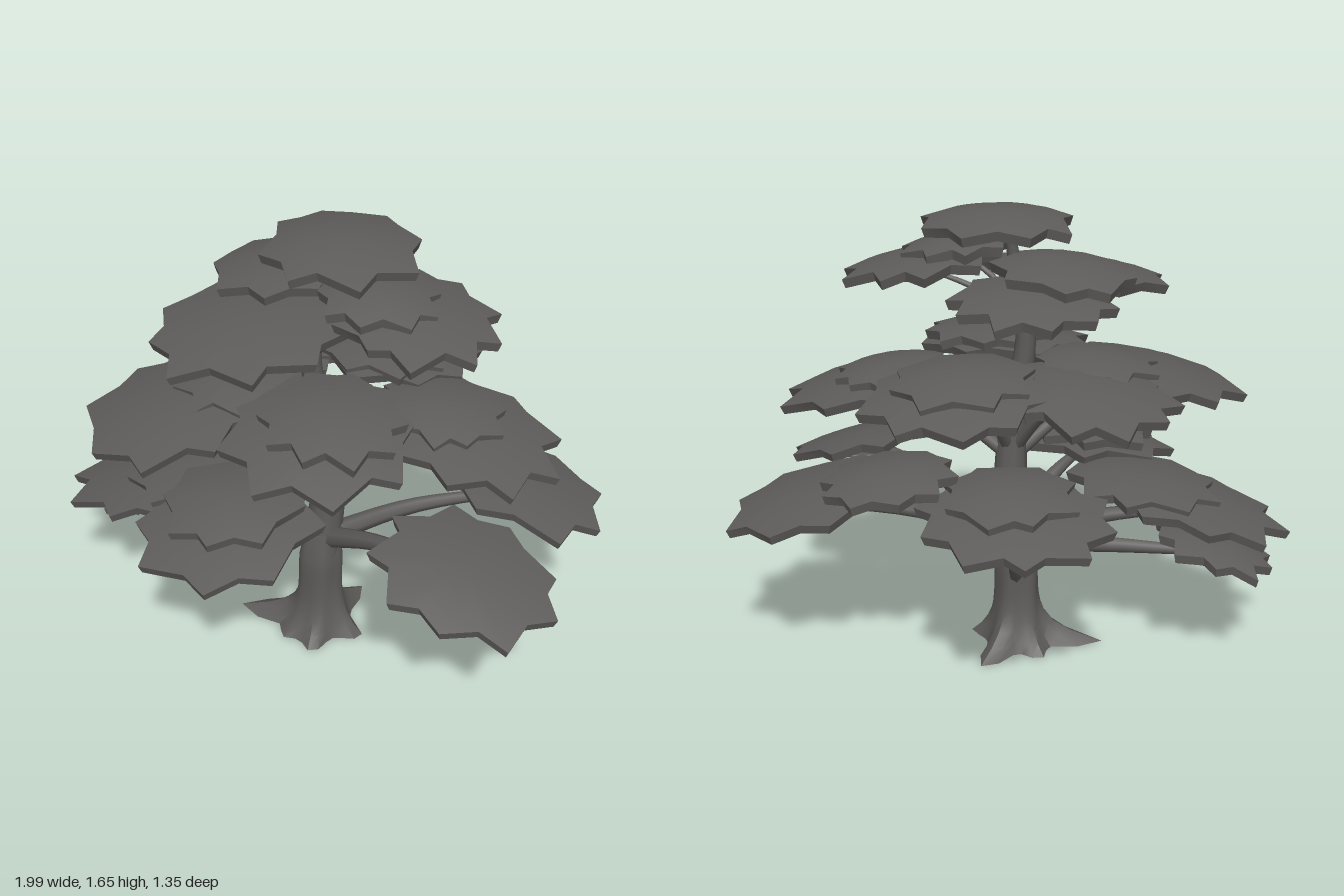
import * as THREE from 'three';
import { toCreasedNormals } from 'three/addons/utils/BufferGeometryUtils.js';

const grey = new THREE.MeshStandardMaterial({ color: 0x5e5c5a });
grey.name = 'charcoal grey';

const THICK = 0.036;
const V = (x, y, z) => new THREE.Vector3(x, y, z);

function seeded(seed) {
  let s = seed * 7919 + 17;
  return () => {
    s = (s * 16807) % 2147483647;
    return s / 2147483647;
  };
}

function add(parent, geometry, name) {
  const mesh = new THREE.Mesh(geometry, grey);
  mesh.name = name;
  parent.add(mesh);
  return mesh;
}

// Tapered tube through a few points
function limb(points, r0, r1, sides = 7, segments = 10) {
  const curve = new THREE.CatmullRomCurve3(points);
  const geo = new THREE.TubeGeometry(curve, segments, 1, sides);
  const pos = geo.attributes.position;
  const p = V(0, 0, 0);
  for (let i = 0; i < pos.count; i++) {
    const t = Math.floor(i / (sides + 1)) / segments;
    const c = curve.getPointAt(t);
    p.fromBufferAttribute(pos, i).sub(c).multiplyScalar(r0 + (r1 - r0) * t).add(c);
    pos.setXYZ(i, p.x, p.y, p.z);
  }
  return geo;
}

// Star-edged foliage plate, domed above and nearly flat below, leaning by slopes sx and sz
function padGeometry({ rx, rz, sx, sz, dome, seed }) {
  const rand = seeded(seed);
  const n = (8 + (seed % 3)) * 2;
  const turn = rand() * 6.28;
  const rim = [];
  for (let i = 0; i < n; i++) {
    const a = turn + ((i + (rand() - 0.5) * 0.6) / n) * Math.PI * 2;
    const r = i % 2 ? 0.78 + rand() * 0.08 : 0.95 + rand() * 0.12;
    rim.push([Math.cos(a) * r, Math.sin(a) * r]);
  }
  const verts = [];
  const index = [];
  const put = (u, v, drop) => verts.push(
    u * rx, sx * u * rx + sz * v * rz - dome * (u * u + v * v) - drop, v * rz);
  const rings = [[0.4, 0], [0.75, 0], [1, 0], [0.96, THICK], [0.6, THICK + dome * 0.45]];
  put(0, 0, 0);
  for (const [k, drop] of rings) for (const [u, v] of rim) put(u * k, v * k, drop);
  put(0, 0, THICK + dome * 0.75);
  const last = rings.length * n + 1;
  for (let i = 0; i < n; i++) {
    const j = (i + 1) % n;
    index.push(0, 1 + j, 1 + i);
    for (let k = 0; k < rings.length - 1; k++) {
      const a = 1 + k * n, b = a + n;
      index.push(a + i, a + j, b + i, a + j, b + j, b + i);
    }
    const e = 1 + (rings.length - 1) * n;
    index.push(e + i, e + j, last);
  }
  const geo = new THREE.BufferGeometry();
  geo.setAttribute('position', new THREE.Float32BufferAttribute(verts, 3));
  geo.setIndex(index);
  return toCreasedNormals(geo, 0.6);
}

// Plates droop outward in proportion to their distance from the trunk (lean).
// ratio is depth over width; each plate is centre x, y, z and half width.
const TIERS = [
  { name: 'crown', lean: 0, dome: 0.05, ratio: 1.03, plates: [[0.03, 1.65, -0.01, 0.27]] },
  {
    name: 'upperTier', lean: 0.45, dome: 0.043, ratio: 1, from: 1.07, girth: 0.018,
    plates: [[0.18, 1.54, 0.08, 0.2], [0.3, 1.48, 0.08, 0.28], [-0.2, 1.5, -0.1, 0.25],
      [-0.22, 1.43, 0.2, 0.33], [-0.1, 1.42, -0.19, 0.27]],
  },
  {
    name: 'middleTier', lean: 0.4, dome: 0.048, ratio: 0.98, from: 0.68, girth: 0.028,
    plates: [[0.05, 1.135, 0.32, 0.32], [0.14, 1.125, -0.3, 0.33], [-0.29, 1.11, -0.2, 0.31],
      [-0.49, 1.07, 0.2, 0.34], [0.49, 1.05, 0.06, 0.32]],
  },
  {
    name: 'middleCaps', lean: 0.25, dome: 0.04, ratio: 1,
    plates: [[0.08, 1.178, 0.28, 0.25], [0.12, 1.16, -0.25, 0.25], [-0.3, 1.135, 0.06, 0.23],
      [0.4, 1.1, 0.02, 0.22]],
  },
  {
    name: 'lowerTier', lean: 0.42, dome: 0.042, ratio: 0.86, from: 0.38, girth: 0.042,
    plates: [[-0.26, 0.725, 0.38, 0.34], [-0.66, 0.635, 0.03, 0.34], [-0.74, 0.505, -0.06, 0.22],
      [0.67, 0.69, -0.18, 0.33], [0.57, 0.705, 0.38, 0.32], [-0.07, 0.73, -0.39, 0.34]],
  },
  {
    name: 'lowerCaps', lean: 0.25, dome: 0.042, ratio: 0.95,
    plates: [[-0.27, 0.795, 0.33, 0.25], [-0.48, 0.7, 0.04, 0.28], [0.38, 0.805, -0.27, 0.24],
      [-0.04, 0.78, -0.32, 0.24]],
  },
];

// Branch from the trunk to a plate, with twigs fanning out beneath it
function addBranch(parent, start, [x, y, z], { rx, rz, sx, sz, dome }, girth) {
  const end = V(x, y - THICK - dome * 0.75, z);
  const bend = start.clone().lerp(end, 0.45);
  bend.y = start.y + (end.y - start.y) * 0.66;
  add(parent, limb([start, bend, end], girth, girth * 0.35), 'branch');

  const out = Math.atan2(z - start.z, x - start.x);
  const fork = bend.clone().lerp(end, 0.65);
  for (const d of [-1.1, -0.4, 0.4, 1.1]) {
    const dx = Math.cos(out + d) * rx * 0.55, dz = Math.sin(out + d) * rz * 0.55;
    const tip = V(x + dx, y + sx * dx + sz * dz - dome * 0.75 - THICK - 0.006, z + dz);
    const mid = fork.clone().lerp(tip, 0.5);
    mid.y -= 0.01;
    add(parent, limb([fork, mid, tip], girth * 0.4, 0.003, 5, 5), 'twig');
  }
}

export function createModel() {
  const tree = new THREE.Group();
  tree.name = 'tieredTree';

  // Trunk base with flared roots, each a direction and a length
  const base = new THREE.CylinderGeometry(0.08, 0.08, 0.46, 28, 12);
  base.translate(0, 0.23, 0);
  const roots = [[Math.PI, 0.2], [0.3, 0.06], [1.5, 0.06], [2.3, 0.06], [-1.15, 0.13], [-2.2, 0.06]];
  const pos = base.attributes.position;
  for (let i = 0; i < pos.count; i++) {
    const x = pos.getX(i), y = pos.getY(i), z = pos.getZ(i);
    const a = Math.atan2(z, x);
    const f = Math.max(0, 1 - y / 0.24);
    let reach = 0.04 * f * f;
    for (const [dir, len] of roots) reach += len * Math.max(0, Math.cos(a - dir)) ** 20 * f ** 4;
    const taper = 0.25 * Math.max(0, (y - 0.34) / 0.12);
    const k = 1 + reach / 0.08 + 0.05 * Math.sin(a * 5 + y * 6) - taper;
    pos.setXYZ(i, x * k - 0.03, y, z * k + 0.03);
  }
  add(tree, toCreasedNormals(base, 0.7), 'rootedTrunk');

  // Leader rising through the tiers
  const spine = [V(-0.03, 0.36, 0.03), V(-0.01, 0.6, 0), V(-0.02, 0.9, 0.02), V(-0.06, 1.18, 0.03), V(-0.03, 1.4, 0.02), V(0, 1.62, 0)];
  add(tree, limb(spine, 0.075, 0.015, 10, 20), 'leader');
  const leader = new THREE.CatmullRomCurve3(spine);

  // Short broken stub behind the trunk
  add(tree, limb([V(-0.03, 0.28, -0.02), V(-0.03, 0.33, -0.06), V(-0.02, 0.36, -0.085)], 0.03, 0.014), 'stub');

  // Foliage tiers; nearer plates branch off a little higher
  let seed = 3;
  for (const { name, lean, dome, ratio, from, girth, plates } of TIERS) {
    const tier = new THREE.Group();
    tier.name = name;
    tree.add(tier);
    for (const plate of plates) {
      const [x, y, z, rx] = plate;
      const form = { rx, rz: rx * ratio, sx: -lean * x, sz: -lean * z, dome, seed: seed++ };
      add(tier, padGeometry(form), 'foliagePlate').position.set(x, y, z);
      if (from) {
        const height = from + 0.12 * (1 - Math.hypot(x, z));
        addBranch(tier, leader.getPoint(Math.max(0, (height - 0.36) / 1.26)), plate, form, girth);
      }
    }
  }
  return tree;
}
